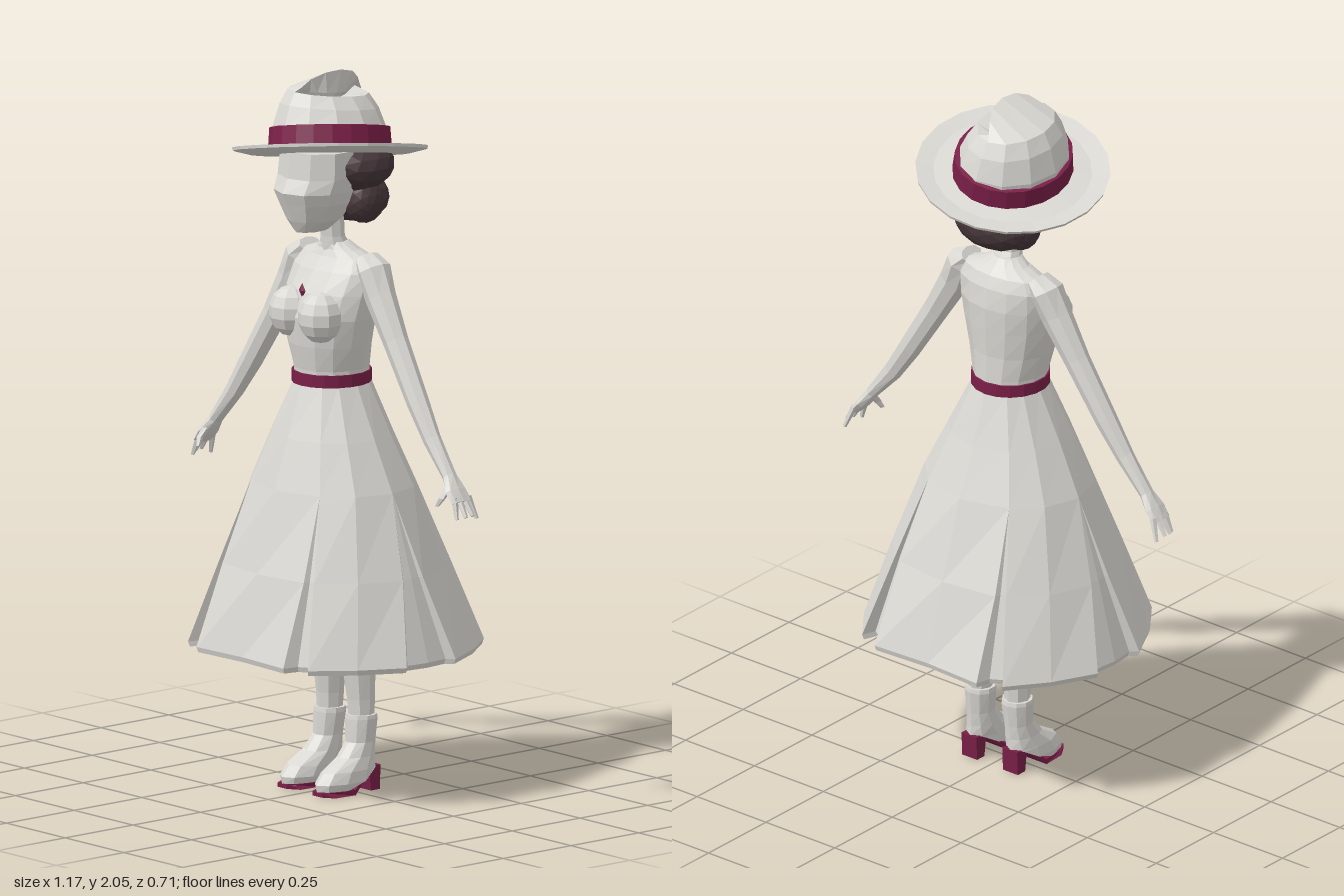
import * as THREE from 'three';

const pale = new THREE.MeshStandardMaterial({ name: 'paleGrey', color: 0xdad8d3 });
const wine = new THREE.MeshStandardMaterial({ name: 'wineRed', color: 0x7a1f47 });
const brown = new THREE.MeshStandardMaterial({ name: 'darkBrown', color: 0x46363a });

function facet(geometry) {
  const g = geometry.index ? geometry.toNonIndexed() : geometry;
  g.computeVertexNormals();
  return g;
}

function part(parent, name, geometry, material) {
  const mesh = new THREE.Mesh(facet(geometry), material);
  mesh.name = name;
  parent.add(mesh);
  return mesh;
}

// Skin a list of point rings, lowest first, and close both ends.
function loft(rings) {
  const n = rings[0].length, pos = [], idx = [];
  rings.forEach(r => r.forEach(p => pos.push(...p)));
  for (let i = 0; i < rings.length - 1; i++) {
    for (let j = 0; j < n; j++) {
      const a = i * n + j, b = i * n + (j + 1) % n;
      idx.push(a, b, b + n, a, b + n, a + n);
    }
  }
  [0, rings.length - 1].forEach((i, end) => {
    const c = pos.length / 3;
    pos.push(...[0, 1, 2].map(k => rings[i].reduce((s, p) => s + p[k], 0) / n));
    for (let j = 0; j < n; j++) {
      const a = i * n + j, b = i * n + (j + 1) % n;
      idx.push(c, end ? a : b, end ? b : a);
    }
  });
  const g = new THREE.BufferGeometry();
  g.setAttribute('position', new THREE.Float32BufferAttribute(pos, 3));
  g.setIndex(idx);
  return g;
}

// Elliptical limb along rows of [x, y, z, radiusAcross, radiusDeep].
function limb(rows, n = 10) {
  return loft(rows.map(([x, y, z, rx, rz], i) => {
    const p = rows[Math.max(i - 1, 0)], q = rows[Math.min(i + 1, rows.length - 1)];
    const tx = q[0] - p[0], ty = q[1] - p[1], l = Math.hypot(tx, ty);
    return Array.from({ length: n }, (_, j) => {
      const a = j / n * Math.PI * 2, u = rx * Math.sin(a);
      return [x + u * ty / l, y - u * tx / l, z + rz * Math.cos(a)];
    });
  }));
}

// Upright body from rows of [y, halfWidth, frontZ, backZ].
const body = (rows, n, x = 0) =>
  limb(rows.map(([y, rx, f, b]) => [x, y, (f + b) / 2, rx, (f - b) / 2]), n);

// Skirt with six flat panels separated by sunken pleats.
function skirt() {
  // hem x, hem z, and the angle each point merges to where the pleats end
  const q = [[0, .345, 0], [.185, .355, .62], [.195, .31, .62], [.24, .285, .62], [.255, .325, .62],
    [.34, .215, 1.05], [.405, .09, 1.57], [.385, .07, 1.57], [.392, 0, 1.57]];
  const half = [...q, ...q.slice(0, -1).reverse().map(([x, z, a]) => [x, -z, Math.PI - a])];
  const ring = [...half, ...half.slice(1, -1).reverse().map(([x, z, a]) => [-x, z, -a])];
  const level = ([y, rx, rz, cz, s]) => ring.map(([x, z, a]) => [
    THREE.MathUtils.lerp(rx * Math.sin(a), x * rx / .405, s), y,
    cz + THREE.MathUtils.lerp(rz * Math.cos(a), z * rx / .405, s)]);
  return loft([
    [1.1, .1, .1, .015, 0], [.88, .235, .2, .01, 0], [.425, .385, .34, 0, 1],   // lining
    [.405, .4, .35, 0, 1], [.42, .405, .355, 0, 1], [.65, .333, .29, .005, .5],
    [.88, .252, .217, .01, 0], [1.02, .183, .165, .015, 0], [1.17, .106, .11, .015, 0],
  ].map(level));
}

function addArm(root, s) {
  const arm = new THREE.Group();
  arm.name = s > 0 ? 'leftArm' : 'rightArm';
  root.add(arm);
  const m = rows => rows.map(([x, ...rest]) => [s * x, ...rest]);
  part(arm, 'armAndPalm', limb(m([
    [.55, .905, .012, .012, .036], [.525, .935, .014, .017, .038], [.497, .972, .012, .018, .022],
    [.42, 1.065, .01, .028, .024], [.355, 1.16, .006, .034, .03], [.255, 1.315, 0, .039, .034],
    [.185, 1.43, -.004, .047, .042], [.152, 1.5, -.008, .045, .052], [.12, 1.53, -.01, .025, .04],
  ]), 8), pale);
  // fingers and thumb
  [[.566, .858, -.028], [.578, .87, -.004], [.576, .868, .02], [.562, .862, .042]].forEach(([x, y, z]) =>
    part(arm, 'finger', limb(m([[x, y, z, .006, .006], [.543, .92, z * .7 + .005, .01, .011]]), 5), pale));
  part(arm, 'thumb', limb(m([[.508, .898, .068, .006, .007], [.516, .92, .056, .01, .012],
    [.515, .95, .03, .011, .014]]), 5), pale);
}

function addLeg(root, s) {
  const leg = new THREE.Group();
  leg.name = s > 0 ? 'leftLeg' : 'rightLeg';
  root.add(leg);
  part(leg, 'calf', limb([[s * .068, .18, -.035, .034, .036], [s * .066, .26, -.035, .038, .04],
    [s * .062, .38, -.028, .05, .048], [s * .06, .6, -.01, .06, .06]], 8), pale);

  // ankle boot, its underside lifted to the arch of the heel
  const boot = limb([[s * .074, .008, .03, .044, .104], [s * .074, .035, .03, .052, .106],
    [s * .073, .065, .018, .05, .092], [s * .07, .1, -.012, .044, .06], [s * .069, .14, -.03, .039, .044],
    [s * .067, .205, -.035, .046, .046], [s * .067, .217, -.035, .044, .044]], 10);
  const p = boot.attributes.position;
  for (let i = 0; i < p.count; i++) {
    const floor = .012 + THREE.MathUtils.clamp((.03 - p.getZ(i)) * .75, 0, .055);
    p.setY(i, Math.max(p.getY(i), floor));
  }
  part(leg, 'boot', boot, pale);

  // sole and heel cut from one side profile, narrowed at toe and heel
  const outline = [[.134, .004], [.1, 0], [.03, 0], [-.035, .055], [-.042, 0], [-.074, 0],
    [-.077, .07], [-.04, .07], [.03, .016], [.1, .016], [.134, .016]];
  const sole = new THREE.ExtrudeGeometry(new THREE.Shape(outline.map(a => new THREE.Vector2(...a))),
    { depth: .09, bevelEnabled: false });
  sole.translate(0, 0, -.045).rotateY(-Math.PI / 2);
  const v = sole.attributes.position;
  for (let i = 0; i < v.count; i++) {
    const z = v.getZ(i);
    v.setX(i, s * .074 + v.getX(i) * (z > .12 ? .45 : z > .08 ? .9 : z < -.03 ? .6 : 1));
  }
  part(leg, 'soleAndHeel', sole, wine);
}

function addHat(root) {
  const hat = new THREE.Group();
  hat.name = 'hat';
  hat.position.set(-.008, 1.817, .015);
  hat.rotation.set(-.16, 0, .2);
  root.add(hat);
  const lathe = pts => new THREE.LatheGeometry(pts.map(a => new THREE.Vector2(...a)), 20);
  part(hat, 'brim', lathe([[.0, -.008], [.15, -.008], [.22, -.008], [.268, .004], [.27, .013],
    [.22, .006], [.15, .012], [0, .012]]), pale).scale.z = 1.03;
  part(hat, 'hatBand', lathe([[.15, .012], [.162, .012], [.158, .068], [.145, .07]]), wine).scale.z = 1.12;

  // crown, levelled towards the top, with a long dent
  const crown = limb([[0, 0, 0, .152, .17], [0, .07, 0, .15, .168], [.005, .13, .006, .128, .148],
    [.008, .17, .012, .1, .125], [.01, .182, .014, .078, .1], [.01, .168, .016, .04, .065]], 12);
  const p = crown.attributes.position;
  for (let i = 0; i < p.count; i++) {
    p.setY(i, p.getY(i) - p.getX(i) * p.getY(i) * .7 + p.getZ(i) * p.getY(i) * -.3);
  }
  part(hat, 'crown', crown, pale);
}

export function createModel() {
  const root = new THREE.Group();
  root.name = 'womanInHat';

  // dress
  part(root, 'skirt', skirt(), pale);
  part(root, 'bodice', body([[1.16, .104, .123, -.093], [1.21, .107, .125, -.092], [1.28, .125, .138, -.09],
    [1.36, .144, .145, -.095], [1.43, .153, .12, -.098], [1.49, .155, .082, -.09],
    [1.525, .135, .052, -.075], [1.545, .075, .042, -.055], [1.565, .04, .04, -.035]], 14), pale);
  part(root, 'belt', body([[1.165, .11, .13, -.098], [1.2, .11, .13, -.098]], 18), wine);
  for (const s of [1, -1]) {
    const bust = part(root, 'bust', new THREE.SphereGeometry(.066, 9, 7), pale);
    bust.position.set(s * .062, 1.367, .11);
    bust.scale.y = 1.1;
    addArm(root, s);
    addLeg(root, s);
  }
  const pendant = part(root, 'pendant', new THREE.OctahedronGeometry(.018), wine);
  pendant.position.set(-.003, 1.435, .122);
  pendant.scale.set(.8, 1.2, .4);

  // neck and head
  part(root, 'neck', body([[1.54, .045, .045, -.045], [1.58, .036, .045, -.02], [1.68, .036, .055, -.015]], 8), pale);
  part(root, 'face', body([[1.607, .035, .15, .04], [1.64, .07, .168, 0], [1.69, .098, .188, -.03],
    [1.725, .11, .203, -.04], [1.765, .116, .183, -.04], [1.84, .112, .175, -.04]], 10, .006), pale);

  // hair under the hat and a low roll at the nape
  const hair = [[.005, 1.785, -.025, .158, .085, .13], [0, 1.69, -.06, .128, .08, .082],
    [.08, 1.685, -.035, .055, .065, .06], [-.08, 1.685, -.035, .055, .065, .06]];
  for (const [x, y, z, rx, ry, rz] of hair) {
    const lock = part(root, 'hair', new THREE.IcosahedronGeometry(1, 2), brown);
    lock.position.set(x, y, z);
    lock.scale.set(rx, ry, rz);
  }

  addHat(root);
  return root;
}
